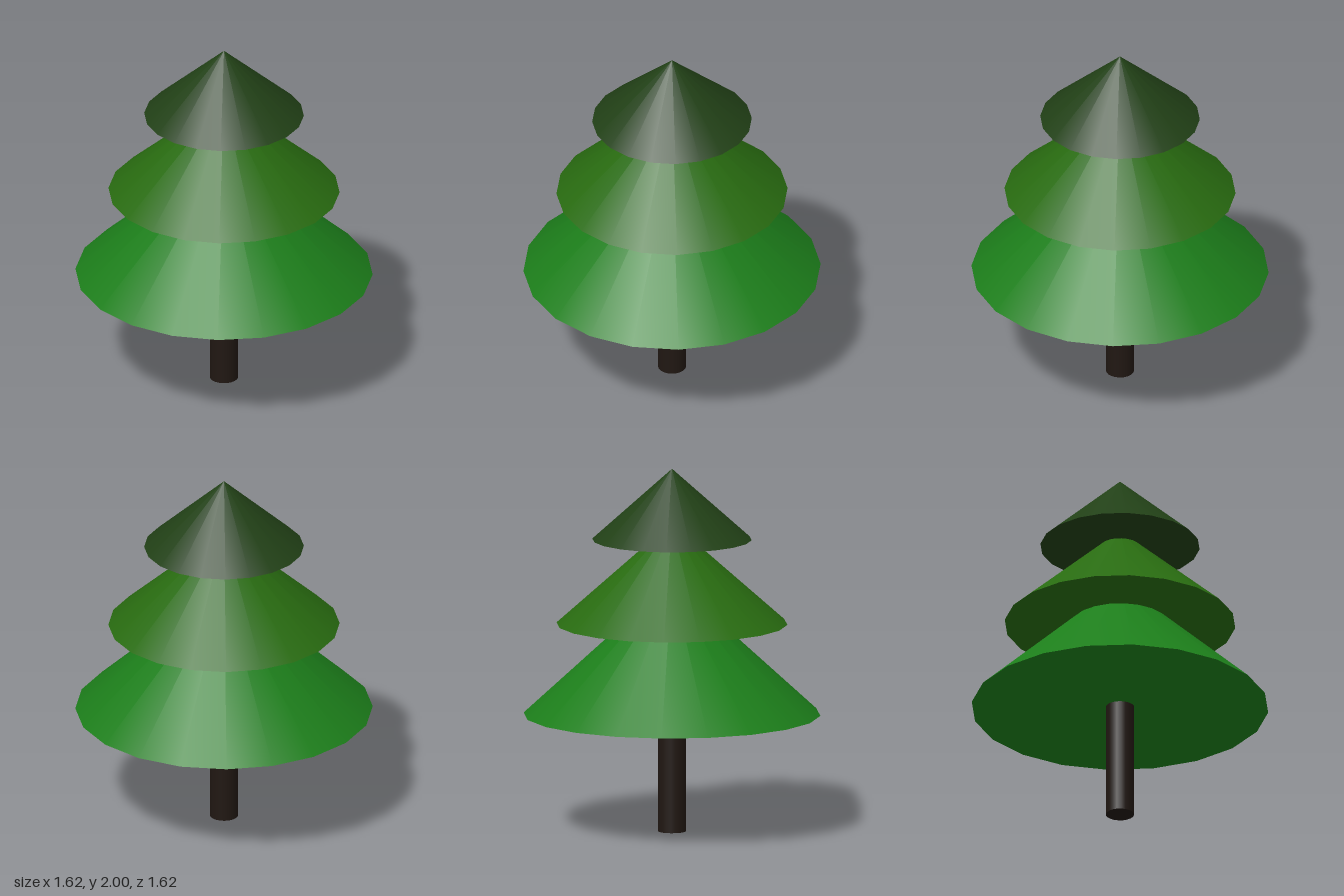
import * as THREE from 'three';

const SIDES = 20;

export function createModel() {
  const tree = new THREE.Group();
  tree.name = 'tree';

  function addPart(name, geometry, color, bottom, height) {
    const mesh = new THREE.Mesh(geometry, new THREE.MeshStandardMaterial({ color }));
    mesh.name = name;
    mesh.position.y = bottom + height / 2;
    tree.add(mesh);
  }

  // Trunk, ending just inside the lowest tier
  addPart('trunk', new THREE.CylinderGeometry(0.077, 0.077, 0.72, SIDES), 0x201712, 0, 0.72);

  // Closed foliage cones, each overlapping the tip of the one below
  const tiers = [
    { name: 'lowerFoliage', radius: 0.81, bottom: 0.645, top: 1.39, color: 0x1c7e1a },
    { name: 'middleFoliage', radius: 0.63, bottom: 1.145, top: 1.705, color: 0x286b10 },
    { name: 'upperFoliage', radius: 0.435, bottom: 1.61, top: 2, color: 0x214016 },
  ];
  for (const { name, radius, bottom, top, color } of tiers) {
    const height = top - bottom;
    addPart(name, new THREE.ConeGeometry(radius, height, SIDES), color, bottom, height);
  }

  return tree;
}
